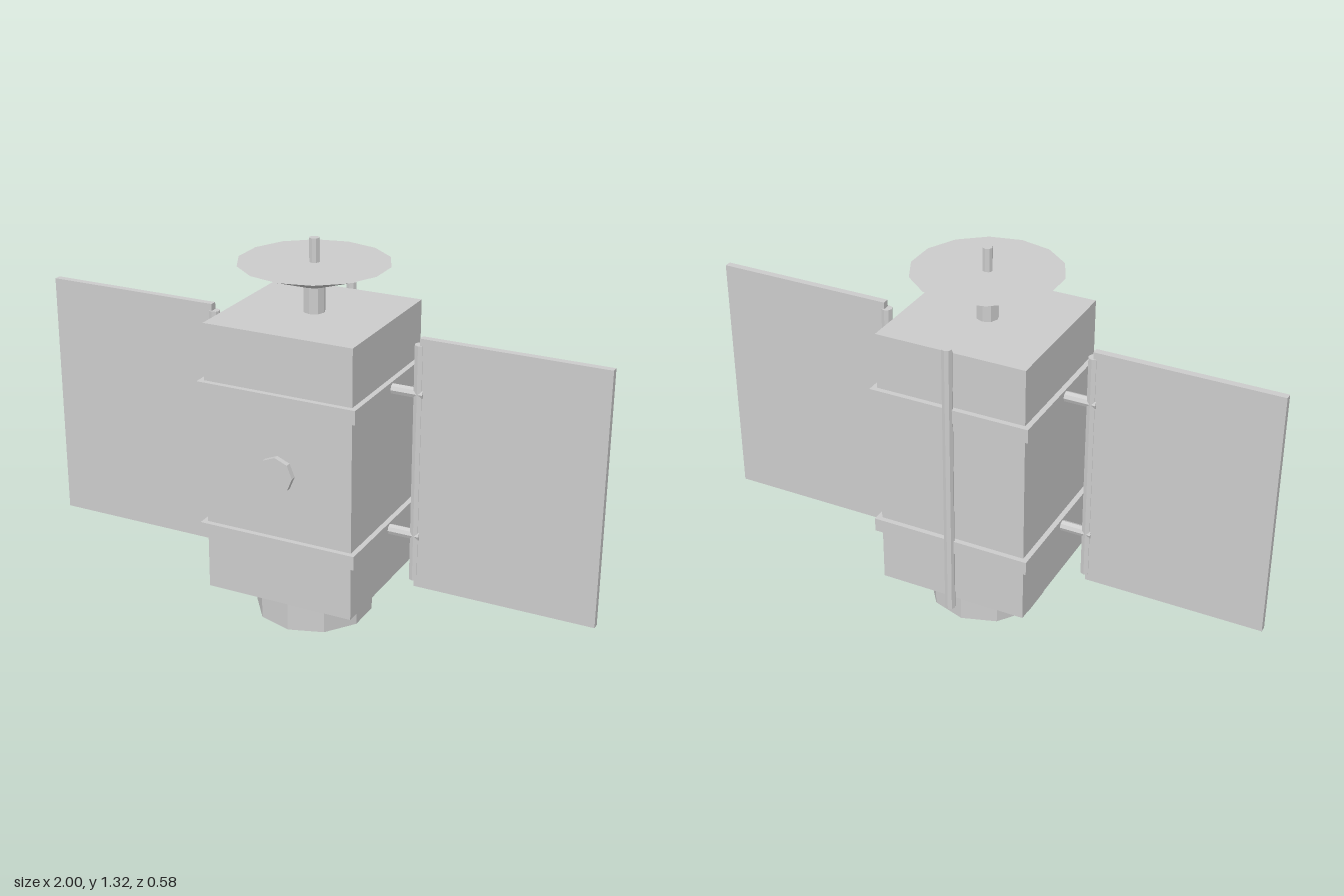
import * as THREE from 'three';

export function createModel() {
  const group = new THREE.Group();
  const grey = new THREE.MeshStandardMaterial({ color: 0xcccccc, flatShading: true });
  grey.name = 'light grey';
  const Z = 0.007; // depth of the main axis

  function add(name, geometry, x, y, z) {
    const mesh = new THREE.Mesh(geometry, grey);
    mesh.name = name;
    mesh.position.set(x, y, z);
    group.add(mesh);
    return mesh;
  }
  const box = (name, w, h, d, x, y, z = Z) => add(name, new THREE.BoxGeometry(w, h, d), x, y, z);
  // Upright prism or cone between two heights
  const post = (name, rTop, rBottom, y0, y1, sides, x = 0, z = Z) =>
    add(name, new THREE.CylinderGeometry(rTop, rBottom, y1 - y0, sides), x, (y0 + y1) / 2, z);

  // Central body and base
  box('body', 0.524, 0.935, 0.524, 0, 0.6025);
  post('engineBase', 0.2, 0.2, 0, 0.135, 10);

  // Dish on its mast, with a thin feed on top
  post('mast', 0.037, 0.037, 1.07, 1.17, 8);
  post('dish', 0.25, 0.045, 1.16, 1.235, 14);
  post('feed', 0.017, 0.017, 1.235, 1.315, 8);

  // Round port on the front
  const port = add('frontPort', new THREE.CylinderGeometry(0.062, 0.062, 0.03, 8), 0, 0.602, 0.273);
  port.rotation.x = Math.PI / 2;

  // Long rod on the back
  post('backRod', 0.018, 0.018, 0.104, 1.09, 8, 0, -0.27);

  // Bands round the body, carrying the panel arms
  for (const y of [0.352, 0.852]) {
    box('band', 0.56, 0.048, 0.56, 0, y);
    for (const side of [-1, 1]) {
      const arm = add('panelArm', new THREE.CylinderGeometry(0.018, 0.018, 0.13, 8), side * 0.325, y, Z);
      arm.rotation.z = Math.PI / 2;
    }
  }

  // Flat panels and their hinge rods
  for (const side of [-1, 1]) {
    box('panel', 0.625, 0.873, 0.024, side * 0.6875, 0.6035);
    post('hingeRod', 0.019, 0.019, 0.19, 1.016, 8, side * 0.372);
  }
  return group;
}
